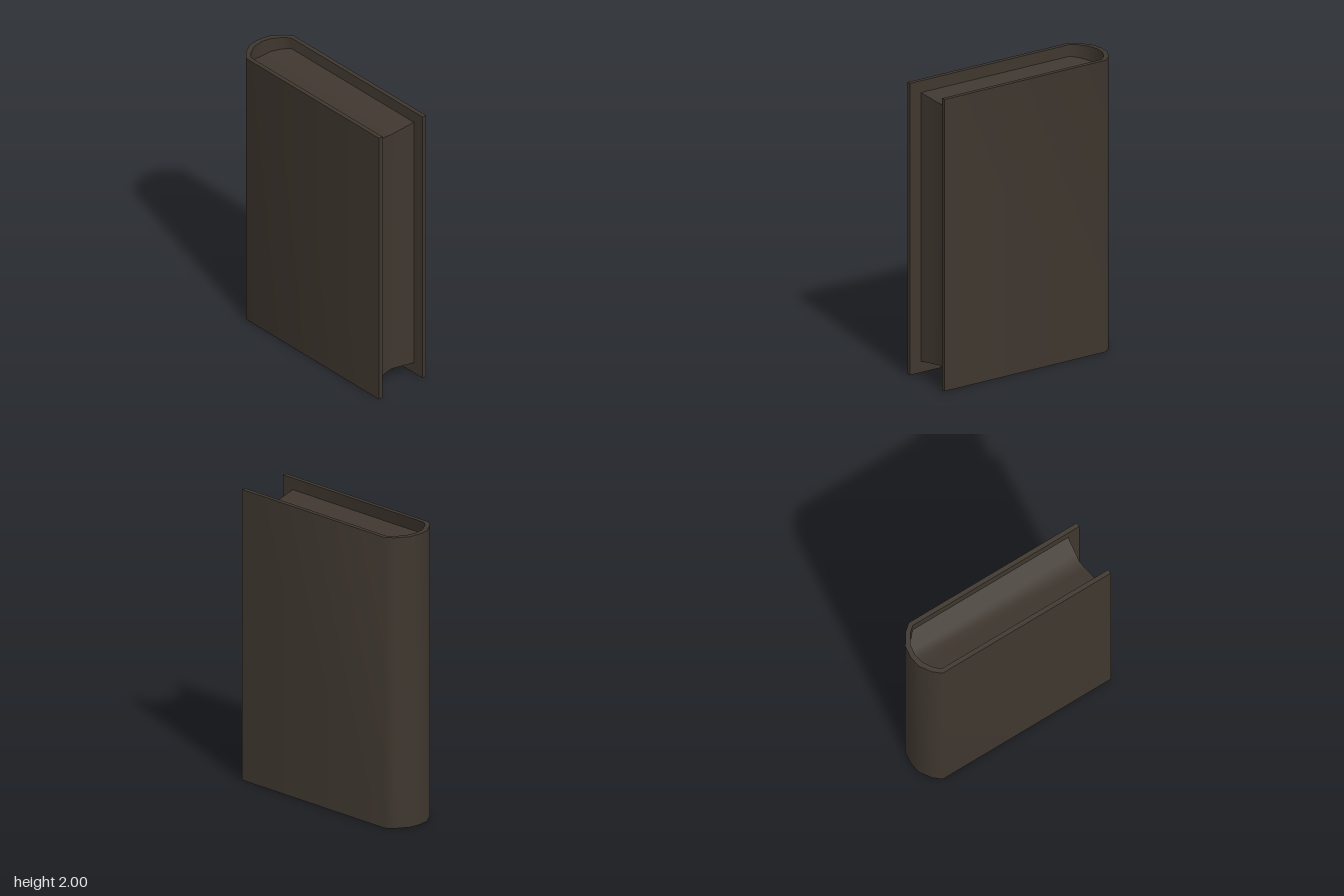
import * as THREE from 'three';
import { toCreasedNormals } from 'three/addons/utils/BufferGeometryUtils.js';

const leather = new THREE.MeshStandardMaterial({ color: 0x3f372f });
leather.name = 'dark brown';

// Right half of the cover outline as [x, z], from fore-edge to the middle of the spine
const OUTER = [[0.205, 0.7], [0.205, -0.585], [0.16, -0.637], [0.08, -0.69], [0, -0.7]];
const INNER = [[0.175, 0.7], [0.175, -0.57], [0.14, -0.612], [0.07, -0.655], [0, -0.667]];

// Full U-shaped line, mirrored across x = 0
function mirrored(half) {
  const other = half.slice(0, -1).reverse().map(([x, z]) => [-x, z]);
  return [...half, ...other];
}

// Two boards and the rounded spine in one extrusion
function makeCover() {
  const outline = [...mirrored(OUTER), ...mirrored(INNER).reverse()];
  const shape = new THREE.Shape(outline.map(([x, z]) => new THREE.Vector2(x, -z)));
  const geo = new THREE.ExtrudeGeometry(shape, { depth: 2, bevelEnabled: false });
  geo.rotateX(-Math.PI / 2);
  const cover = new THREE.Mesh(toCreasedNormals(geo, 0.85), leather);
  cover.name = 'cover';
  return cover;
}

// Page block: hollow fore-edge, rounded back, slightly sunken top and bottom
function makePages() {
  const half = 0.177;
  const geo = new THREE.BoxGeometry(half * 2, 1, 1, 6, 1, 1);
  const p = geo.attributes.position;
  for (let i = 0; i < p.count; i++) {
    const t = Math.abs(p.getX(i)) / half;
    p.setY(i, p.getY(i) > 0 ? 1.89 + 0.03 * t : 0.095 - 0.018 * t);
    p.setZ(i, p.getZ(i) > 0 ? 0.593 + 0.022 * t : -0.672 + 0.1 * t * t);
  }
  const pages = new THREE.Mesh(toCreasedNormals(geo, 0.6), leather);
  pages.name = 'pages';
  return pages;
}

export function createModel() {
  const book = new THREE.Group();
  book.name = 'book';
  book.add(makeCover(), makePages());
  return book;
}
